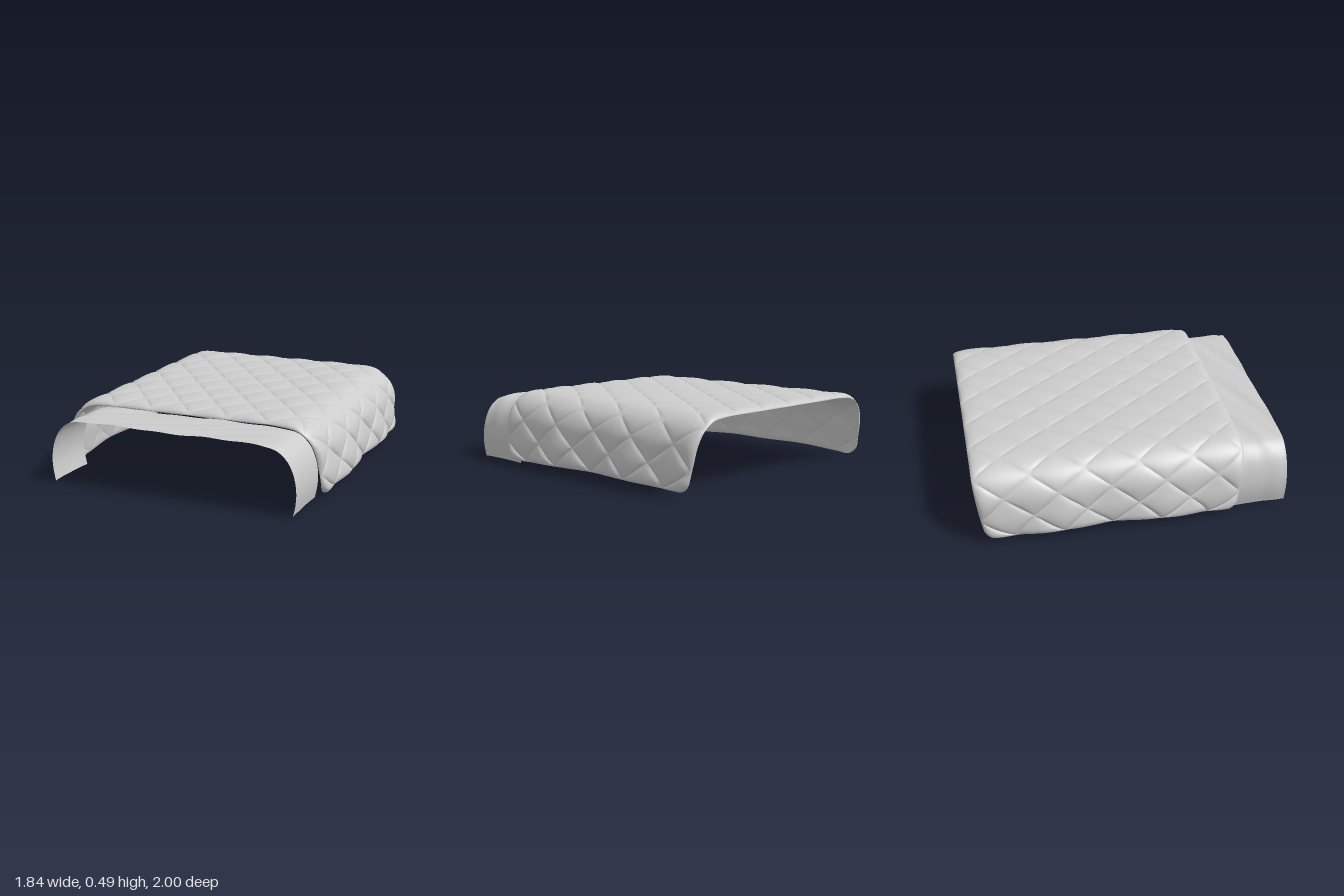
import * as THREE from 'three';
import { toCreasedNormals } from 'three/addons/utils/BufferGeometryUtils.js';

const { smoothstep, lerp } = THREE.MathUtils;

// Half diamonds across and along the quilt, and grid cells in each
const ACROSS = 18, ALONG = 10, CELLS = 8;

// Mirrors a half profile (centre to hem) into a full arch curve
function archCurve(half) {
  const right = half.map(([x, y]) => new THREE.Vector3(x, y, 0));
  const left = right.slice(1).reverse().map((p) => new THREE.Vector3(-p.x, p.y, 0));
  const curve = new THREE.CatmullRomCurve3([...left, ...right], false, 'centripetal');
  curve.arcLengthDivisions = 800;
  return curve;
}

// Even grid lines from 0 to 1, with extra ones next to both ends
function gridLines(n) {
  const lines = [];
  for (let i = 0; i <= n; i++) lines.push(i / n);
  const extra = [0.03, 0.12, 0.3, 0.6].map((k) => k / n);
  return [...lines, ...extra, ...extra.map((k) => 1 - k)].sort((a, b) => a - b);
}

// Surface grid: fn(u, v) -> [x, y, z]; cell diagonals follow the diamond seams
function gridGeometry(us, vs, fn, flip = false) {
  const pos = [], index = [], n = vs.length;
  const tri = (a, b, c) => index.push(...(flip ? [a, c, b] : [a, b, c]));
  us.forEach((u, i) => vs.forEach((v, j) => {
    pos.push(...fn(u, v));
    if (i === us.length - 1 || j === n - 1) return;
    const a = i * n + j, b = a + 1, c = a + n, d = c + 1;
    const um = (u + us[i + 1]) / 2, vm = (v + vs[j + 1]) / 2;
    if ((Math.floor(um * ACROSS) + Math.floor(vm * ALONG)) % 2) {
      tri(a, b, d);
      tri(a, d, c);
    } else {
      tri(a, b, c);
      tri(b, d, c);
    }
  }));
  const g = new THREE.BufferGeometry();
  g.setAttribute('position', new THREE.Float32BufferAttribute(pos, 3));
  g.setIndex(index);
  return toCreasedNormals(g, 0.5);
}

// Position and outward normal along an arch
function sample(curve, t) {
  const p = curve.getPointAt(t), d = curve.getTangentAt(t);
  return { x: p.x, y: p.y, nx: -d.y, ny: d.x };
}

// Diamond cushions: 0 on the stitched seams, 1 at each centre
function quilt(u, v) {
  const a = (u - 0.5) * ACROSS / 2, b = (v * ALONG - 1) / 2;
  return Math.abs(Math.cos(Math.PI * (a + b)) * Math.cos(Math.PI * (a - b))) ** 0.45;
}

function blanketGeometry(outer) {
  const curve = archCurve([[0, 0.467], [0.35, 0.467], [0.6, 0.465], [0.72, 0.447], [0.8, 0.395],
    [0.845, 0.32], [0.866, 0.22], [0.88, 0.13], [0.884, 0.052]]);
  const L = curve.getLength() / 2;
  const R = 0.07, rim = 0.04;
  return gridGeometry(gridLines(ACROSS * CELLS), gridLines(ALONG * CELLS), (u, v) => {
    const c = sample(curve, u);
    const s = Math.abs(u * 2 - 1) * L, hem = L - s;
    const side = smoothstep(s, 0.7, L);

    // Ends lean inward down the sides and round off at the lower corners
    const k = Math.max(0, R - hem);
    const lean = 0.065 * Math.max(0, (s - 0.75) / (L - 0.75)) ** 1.6;
    const inset = lean + R - Math.sqrt(R * R - k * k);
    const z0 = -1 + inset, z1 = 0.712 - inset;
    const z = lerp(z0, z1, v);
    const end = Math.min(z - z0, z1 - z);

    // Padding swells from the closed rim to full thickness
    const q = 1 - Math.min(1, Math.min(hem, end) / rim);
    const body = Math.sqrt(Math.max(0, 1 - q * q));
    const puff = quilt(u, v);
    const h = outer
      ? body * (0.01 + lerp(0.011, 0.022, side) * puff)
      : -body * (0.008 + 0.007 * puff);

    // Folds along the sides, ends turned slightly in, corners drooping
    const fold = 0.013 * side * Math.cos(2 * Math.PI * (z - 0.18) / 0.65);
    const pinch = lerp(0.012, 0.018, side) * Math.max(0, 1 - end / 0.1) ** 2;
    const droop = 0.022 * side * ((z + 0.145) / 0.77) ** 2;
    const off = h + fold - pinch;
    return [c.x + c.nx * off, c.y + c.ny * off - droop, z];
  }, !outer);
}

function sheetGeometry() {
  const curve = archCurve([[0, 0.418], [0.35, 0.418], [0.62, 0.415], [0.7, 0.398], [0.767, 0.34],
    [0.806, 0.26], [0.824, 0.16], [0.82, 0.08], [0.806, 0.008]]);
  return gridGeometry(gridLines(100), gridLines(24), (u, v) => {
    const c = sample(curve, u), z = lerp(0.62, 1, v);
    const side = smoothstep(Math.abs(c.x), 0.6, 0.8);
    // Soft slanting wrinkles, fading down the sides
    const wave = 0.0035 * Math.sin(9 * c.x + 30 * z) + 0.0025 * Math.sin(21 * c.x + 47 * z);
    const r = wave * lerp(1, 0.3, side);
    const hem = 0.008 * side * (Math.sin(9 * z) * 0.5 - 0.5);
    return [c.x + c.nx * r, Math.max(0, c.y + c.ny * r + hem), z];
  });
}

export function createModel() {
  const model = new THREE.Group();
  const cloth = new THREE.MeshStandardMaterial({ color: 0xcccccc, side: THREE.DoubleSide });
  const add = (name, geometry, parent) => {
    const mesh = new THREE.Mesh(geometry, cloth);
    mesh.name = name;
    parent.add(mesh);
  };

  // Padded blanket: quilted top and lining joined along the rim
  const blanket = new THREE.Group();
  blanket.name = 'quiltedBlanket';
  add('blanketTop', blanketGeometry(true), blanket);
  add('blanketLining', blanketGeometry(false), blanket);
  model.add(blanket);

  // Thin sheet showing past the front of the blanket
  add('foldedSheet', sheetGeometry(), model);
  return model;
}
